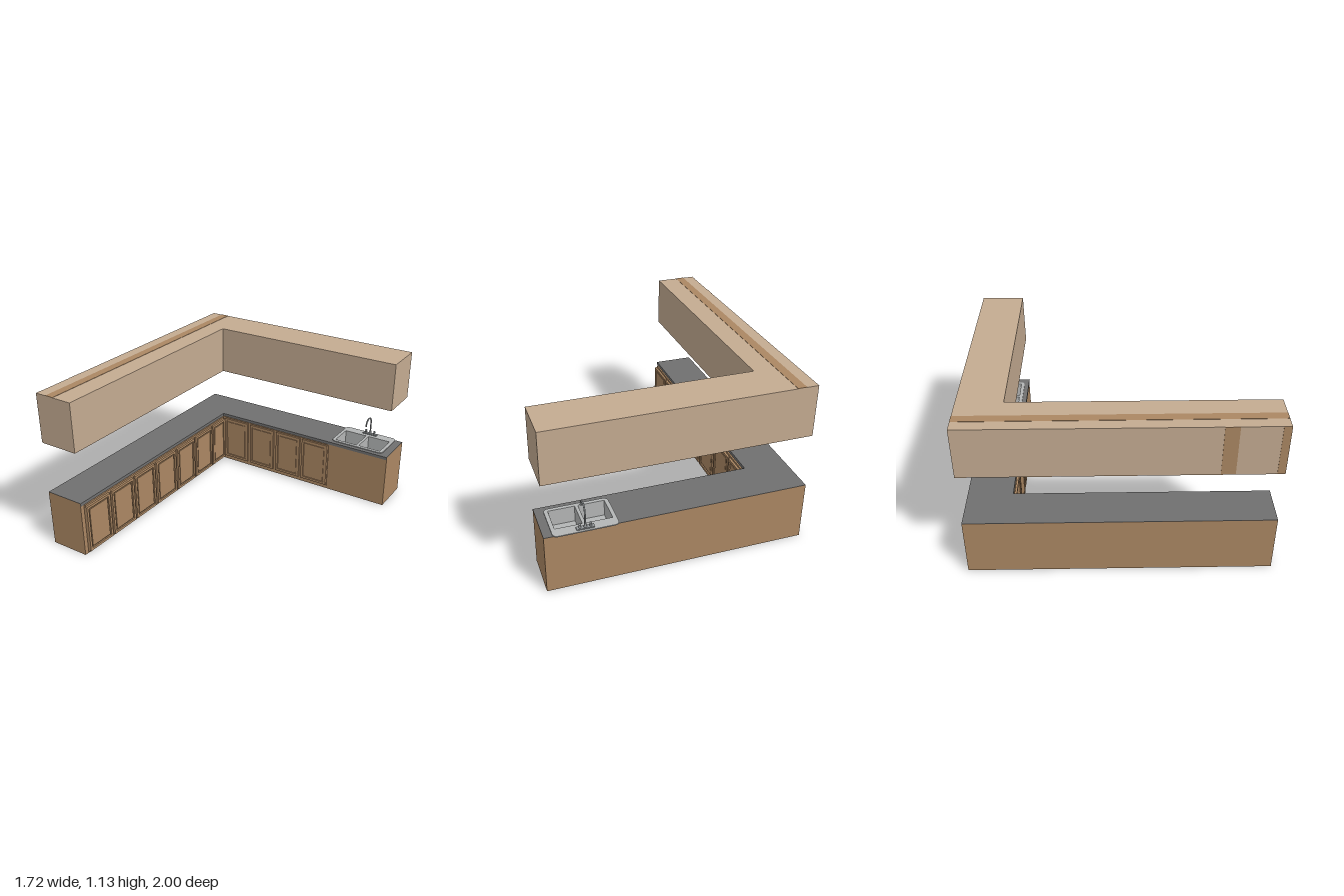
import * as THREE from 'three';

const material = (name, color, side = THREE.FrontSide) => {
  const m = new THREE.MeshStandardMaterial({ color, side });
  m.name = name;
  return m;
};

export function createModel() {
  const model = new THREE.Group();
  model.name = 'cornerKitchen';
  const wood = material('brownWood', 0xab8763);
  const paleWood = material('paleWood', 0xc4ab91);
  const stone = material('greyCounter', 0x707070);
  const steel = material('sinkSteel', 0xb4b6b6, THREE.DoubleSide);
  const chrome = material('tapMetal', 0x94989a);

  const add = (name, geometry, mat, x = 0, y = 0, z = 0, parent = model) => {
    const mesh = new THREE.Mesh(geometry, mat);
    mesh.name = name;
    mesh.position.set(x, y, z);
    parent.add(mesh);
    return mesh;
  };
  // Box given by its minimum and maximum corners
  const addBox = (name, mat, a, b, parent = model) => add(name,
    new THREE.BoxGeometry(b[0] - a[0], b[1] - a[1], b[2] - a[2]), mat,
    (a[0] + b[0]) / 2, (a[1] + b[1]) / 2, (a[2] + b[2]) / 2, parent);

  const rectPath = (x0, y0, x1, y1, Type = THREE.Path) => {
    const p = new Type();
    p.moveTo(x0, y0); p.lineTo(x1, y0); p.lineTo(x1, y1); p.lineTo(x0, y1);
    p.closePath();
    return p;
  };
  // Plan shapes use (x, -z) and are raised upwards
  const raise = (shape, height) => new THREE.ExtrudeGeometry(shape,
    { depth: height, bevelEnabled: false, curveSegments: 8 }).rotateX(-Math.PI / 2);

  const X0 = -0.86, XI = -0.575, X1 = 0.855, Z0 = -0.985, ZI = -0.69, Z1 = 1;
  const basins = [[0.415, 0.585], [0.605, 0.775]];
  const BZ0 = -0.925, BZ1 = -0.745;
  const basinHoles = () => basins.map(([a, b]) => rectPath(a, -BZ1, b, -BZ0));
  const cornerPlan = (holes = []) => {
    const s = new THREE.Shape([[X0, Z1], [XI, Z1], [XI, ZI], [X1, ZI], [X1, Z0], [X0, Z0]]
      .map(([x, z]) => new THREE.Vector2(x, -z)));
    s.holes.push(...holes);
    return s;
  };

  // Base cabinets and counter
  add('baseBottom', raise(cornerPlan(), 0.005), wood);
  add('baseCabinets', raise(cornerPlan(basinHoles()), 0.398), wood, 0, 0.005, 0);
  add('counterTop', raise(cornerPlan(basinHoles()), 0.002), stone, 0, 0.403, 0);
  addBox('counterEdgeLeft', stone, [XI, 0.383, ZI], [XI + 0.003, 0.405, Z1]);
  addBox('counterEdgeBack', stone, [XI, 0.383, ZI], [X1, 0.405, ZI + 0.003]);

  // Wall cabinets with darker underside and strips
  add('wallCabinets', raise(cornerPlan(), 0.347), paleWood, 0, 0.778, 0);
  add('wallCabinetUnderside', raise(cornerPlan(), 0.003), wood, 0, 0.775, 0);
  addBox('topStrip', wood, [-0.78, 1.124, Z0], [-0.72, 1.127, Z1]);
  addBox('sideStrip', wood, [X0 - 0.002, 0.778, 0.61], [X0, 1.125, 0.7]);
  addBox('sideEndStrip', wood, [X0 - 0.002, 0.778, 0.95], [X0, 1.125, Z1]);

  // A panelled door facing local +z
  const addDoor = (parent, x0, x1, y0, y1, back, front) => {
    const door = new THREE.Group();
    door.name = 'door';
    parent.add(door);
    const rail = 0.018, gap = 0.028, mid = back + (front - back) * 0.35;
    const frame = rectPath(x0, y0, x1, y1, THREE.Shape);
    frame.holes.push(rectPath(x0 + rail, y0 + rail, x1 - rail, y1 - rail));
    add('doorFrame', new THREE.ExtrudeGeometry(frame,
      { depth: front - back, bevelEnabled: false }), wood, 0, 0, back, door);
    addBox('doorRecess', wood, [x0 + rail, y0 + rail, back], [x1 - rail, y1 - rail, mid], door);
    addBox('doorPanel', wood, [x0 + gap, y0 + gap, back],
      [x1 - gap, y1 - gap, front - 0.003], door);
  };
  // A backing board with a row of doors
  const addRun = (name, x0, x1, y0, y1, doorY0, doorY1, back, front, doors) => {
    const run = new THREE.Group();
    run.name = name;
    model.add(run);
    addBox('faceBoard', wood, [x0, y0, 0], [x1, y1, back], run);
    for (const [a, b] of doors) addDoor(run, a, b, doorY0, doorY1, back, front);
    return run;
  };
  const backRun = addRun('backDoors', -0.56, 0.385, 0.022, 0.383, 0.038, 0.375, 0.008, 0.021,
    [[-0.545, -0.33], [-0.305, -0.09], [-0.065, 0.145], [0.165, 0.383]]);
  backRun.position.z = ZI;
  const leftRun = addRun('leftDoors', -0.97, 0.665, 0.012, 0.383, 0.026, 0.37, 0.014, 0.03,
    [[-0.975, -0.745], [-0.725, -0.495], [-0.48, -0.255], [-0.235, 0],
      [0.02, 0.24], [0.26, 0.48], [0.495, 0.67]]);
  leftRun.rotation.y = Math.PI / 2;
  leftRun.position.x = XI;

  // Sink rim with rounded corners
  const rim = new THREE.Shape();
  const [rx0, rx1, ry0, ry1, r] = [0.39, 0.8, 0.72, 0.998, 0.035];
  rim.moveTo(rx0 + r, ry0);
  rim.lineTo(rx1 - r, ry0); rim.quadraticCurveTo(rx1, ry0, rx1, ry0 + r);
  rim.lineTo(rx1, ry1 - r); rim.quadraticCurveTo(rx1, ry1, rx1 - r, ry1);
  rim.lineTo(rx0 + r, ry1); rim.quadraticCurveTo(rx0, ry1, rx0, ry1 - r);
  rim.lineTo(rx0, ry0 + r); rim.quadraticCurveTo(rx0, ry0, rx0 + r, ry0);
  rim.holes.push(...basinHoles());
  add('sinkRim', raise(rim, 0.007), steel, 0, 0.404, 0);

  // Open basins with drains
  for (const [a, b] of basins) {
    const w = b - a - 0.002, d = BZ1 - BZ0 - 0.002, cx = (a + b) / 2, cz = (BZ0 + BZ1) / 2;
    const g = new THREE.BoxGeometry(w, 0.11, d);
    const index = Array.from(g.index.array);
    index.splice(12, 6); // leave out the top face
    g.setIndex(index);
    g.clearGroups();
    add('basin', g, steel, cx, 0.354, cz);
    add('drain', new THREE.CylinderGeometry(0.016, 0.016, 0.004, 20), chrome, cx, 0.302, cz);
  }

  // Tap: deck plate, two handles and an arched spout
  const tx = 0.598, tz = -0.968;
  addBox('tapPlate', chrome, [0.542, 0.41, tz - 0.016], [0.654, 0.418, tz + 0.014]);
  for (const side of [-1, 1]) {
    add('tapHandleStem', new THREE.CylinderGeometry(0.006, 0.008, 0.014, 14), chrome,
      tx + side * 0.034, 0.424, tz);
    add('tapHandle', new THREE.CylinderGeometry(0.009, 0.007, 0.012, 14), chrome,
      tx + side * 0.034, 0.436, tz);
  }
  add('spoutBase', new THREE.CylinderGeometry(0.007, 0.01, 0.026, 14), chrome, tx, 0.43, tz);
  const points = [[0.42, tz], [0.51, tz]];
  for (let i = 1; i <= 8; i++) {
    const t = (i / 8) * Math.PI;
    points.push([0.516 + 0.045 * Math.sin(t), tz + 0.045 * (1 - Math.cos(t))]);
  }
  const spout = new THREE.CatmullRomCurve3(points.map(([y, z]) => new THREE.Vector3(tx, y, z)));
  add('spout', new THREE.TubeGeometry(spout, 40, 0.0055, 10), chrome);
  add('spoutTip', new THREE.CylinderGeometry(0.0065, 0.0065, 0.01, 12), chrome, tx, 0.516, tz + 0.09);

  return model;
}
